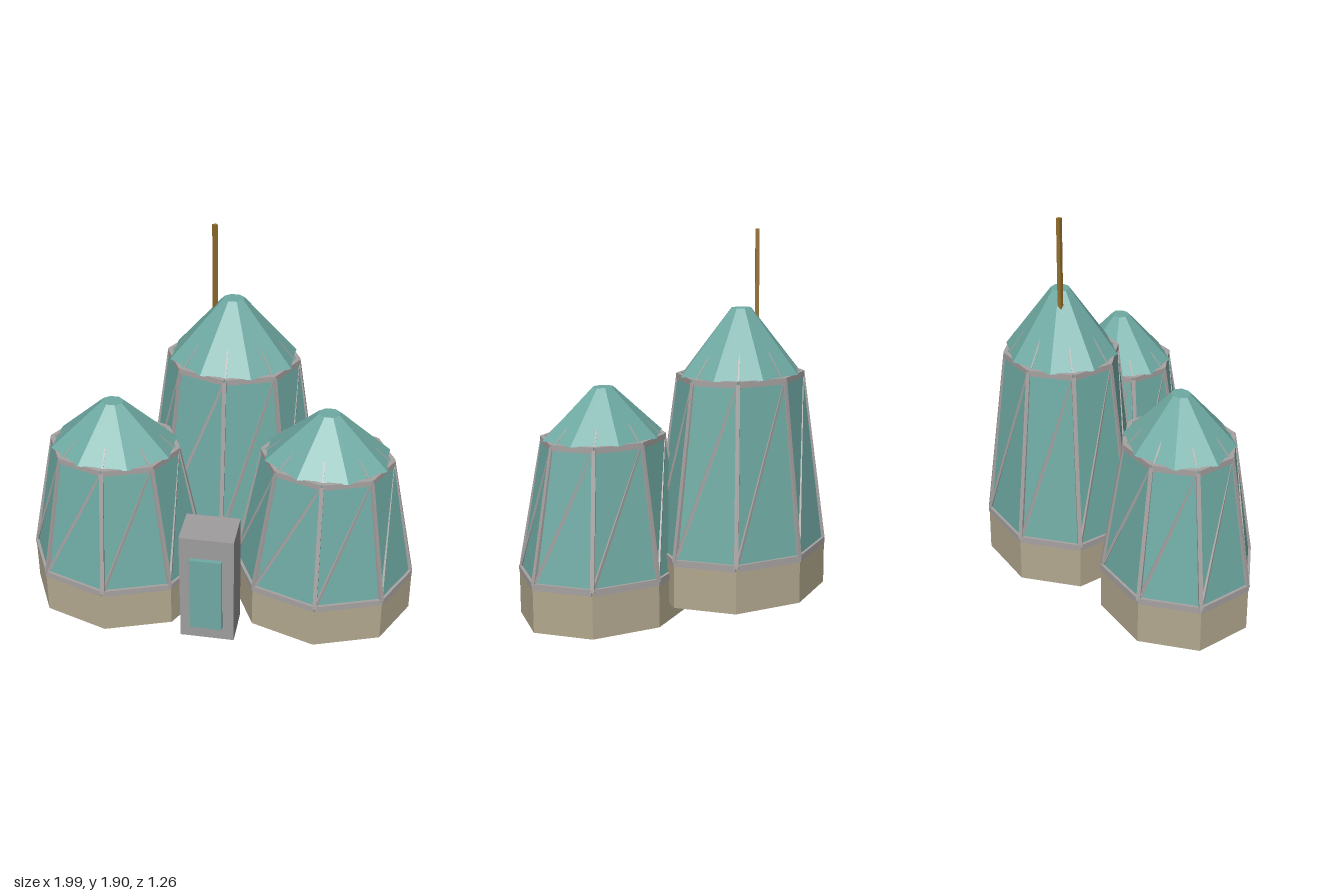
import * as THREE from 'three';

const SIDES = 8;
const DEPTH = 0.83; // the towers are slightly narrower front to back

const mat = (color) => new THREE.MeshStandardMaterial({ color, flatShading: true });

export function createModel() {
  const glass = mat(0x6faaa3);
  const stone = mat(0xb3a98f);
  const metal = mat(0xa8a3a3);
  const grey = mat(0x9f9d9e);
  const brass = mat(0x94702f);

  const model = new THREE.Group();
  model.name = 'greenhouseCluster';

  const add = (parent, name, geometry, material, x = 0, y = 0, z = 0) => {
    const mesh = new THREE.Mesh(geometry, material);
    mesh.name = name;
    mesh.position.set(x, y, z);
    parent.add(mesh);
    return mesh;
  };

  // Octagonal frustum between two heights
  const frustum = (parent, name, material, rTop, rBottom, y0, y1, turn = 0) => {
    const g = new THREE.CylinderGeometry(rTop, rBottom, y1 - y0, SIDES);
    g.rotateY(turn).scale(1, 1, DEPTH);
    return add(parent, name, g, material, 0, (y0 + y1) / 2, 0);
  };

  // Corner number i of an octagon
  const corner = (i, r, y) => {
    const a = (i / SIDES) * Math.PI * 2;
    return new THREE.Vector3(Math.sin(a) * r, y, Math.cos(a) * r * DEPTH);
  };

  // Straight bar between two points
  const bar = (parent, name, a, b, w, h = w) => {
    const mesh = add(parent, name, new THREE.BoxGeometry(w, h, a.distanceTo(b)), metal);
    mesh.position.copy(a).add(b).multiplyScalar(0.5);
    mesh.lookAt(b);
    return mesh;
  };

  const tower = (name, x, z, r, rEave, y0, yWall, yEave, yTop) => {
    const group = new THREE.Group();
    group.name = name;
    const rTop = 0.056;
    const turn = Math.PI / SIDES;
    frustum(group, 'stoneBase', stone, r, r, y0, yWall);
    frustum(group, 'glassWalls', glass, rEave, r - 0.01, yWall, yEave);
    // The roof is turned by half a side against the walls
    frustum(group, 'glassRoof', glass, rTop, rEave * 0.985, yEave, yTop, turn);

    const inset = Math.cos(turn) * 0.985;
    for (let i = 0; i < SIDES; i++) {
      const foot = corner(i, r - 0.008, yWall);
      const eave = corner(i, rEave - 0.006, yEave - 0.012);
      bar(group, 'cornerRib', foot, eave, 0.02);
      bar(group, 'diagonalBrace', foot, corner(i + 1, rEave - 0.006, yEave - 0.012), 0.014);
      bar(group, 'sillRail', corner(i, r - 0.008, yWall - 0.002),
        corner(i + 1, r - 0.008, yWall - 0.002), 0.02, 0.033);
      bar(group, 'eaveRail', eave, corner(i + 1, rEave - 0.006, yEave - 0.012), 0.022, 0.03);
      bar(group, 'roofRib', corner(i, rEave * inset, yEave - 0.002),
        corner(i, rTop * inset - 0.004, yTop - 0.01), 0.008);
    }
    group.position.set(x, 0, z);
    model.add(group);
  };

  tower('rightTower', -0.535, 0.24, 0.463, 0.33, 0.01, 0.24, 0.905, 1.145);
  tower('leftTower', 0.53, 0.18, 0.463, 0.33, 0.01, 0.24, 0.905, 1.145);
  tower('backTower', -0.01, -0.238, 0.474, 0.343, 0.1, 0.327, 1.2, 1.52);

  // Mast beside the tall roof
  add(model, 'mast', new THREE.CylinderGeometry(0.014, 0.014, 0.48, 4), brass, -0.108, 1.66, -0.255);

  // Entrance block with its door
  add(model, 'entranceBlock', new THREE.BoxGeometry(0.274, 0.61, 0.207), grey, -0.008, 0.305, 0.483);
  add(model, 'door', new THREE.BoxGeometry(0.162, 0.42, 0.04), glass, -0.01, 0.285, 0.588);

  return model;
}
